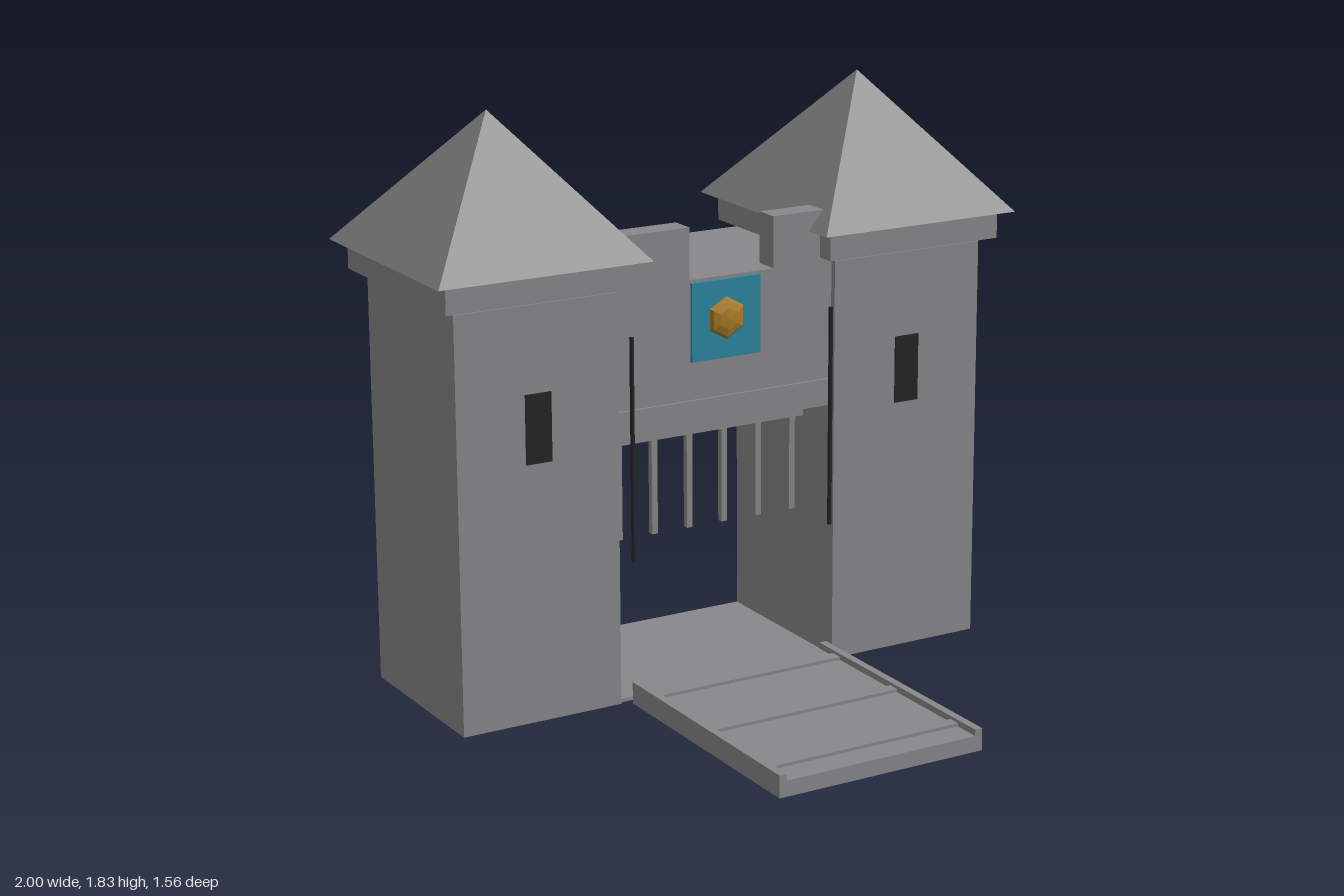
import * as THREE from 'three';

// Faceted copy of a geometry, with one normal per face
function faceted(geometry) {
  const g = geometry.toNonIndexed();
  g.computeVertexNormals();
  return g;
}

function material(name, color) {
  const m = new THREE.MeshStandardMaterial({ color });
  m.name = name;
  return m;
}

export function createModel() {
  const stone = material('stone grey', 0x88888a);
  const dark = material('dark iron', 0x242424);
  const teal = material('teal', 0x2a86a0);
  const gold = material('gold', 0xa87c24);

  const model = new THREE.Group();
  model.name = 'gatehouse';

  // Box given by its extents on each axis
  function box(parent, name, mat, [x0, x1], [y0, y1], [z0, z1]) {
    const mesh = new THREE.Mesh(new THREE.BoxGeometry(x1 - x0, y1 - y0, z1 - z0), mat);
    mesh.position.set((x0 + x1) / 2, (y0 + y1) / 2, (z0 + z1) / 2);
    mesh.name = name;
    parent.add(mesh);
    return mesh;
  }

  // Towers with cornice, pyramid roof and window slit
  const roofGeometry = new THREE.ConeGeometry(Math.SQRT1_2, 0.425, 4);
  roofGeometry.rotateY(Math.PI / 4).scale(0.70, 1, 0.76);
  for (const side of [-1, 1]) {
    const tower = new THREE.Group();
    tower.name = side > 0 ? 'leftTower' : 'rightTower';
    tower.position.x = side * 0.65;
    box(tower, 'towerBody', stone, [-0.268, 0.268], [0, 1.30], [-0.69, -0.10]);
    box(tower, 'cornice', stone, [-0.31, 0.31], [1.313, 1.40], [-0.735, -0.06]);
    box(tower, 'windowSlit', dark, [-0.043, 0.043], [0.815, 1.03], [-0.101, -0.096]);
    const roof = new THREE.Mesh(faceted(roofGeometry), stone);
    roof.name = 'roof';
    roof.position.set(0, 1.40 + 0.2125, -0.40);
    tower.add(roof);
    model.add(tower);
  }

  // Wall over the gate, lintel, threshold and battlements
  box(model, 'gateWall', stone, [-0.382, 0.382], [0.84, 1.30], [-0.67, -0.12]);
  box(model, 'lintel', stone, [-0.382, 0.382], [0.84, 0.925], [-0.14, -0.11]);
  box(model, 'threshold', stone, [-0.382, 0.382], [0, 0.012], [-0.69, -0.11]);
  for (const x of [-0.37, 0.172]) {
    box(model, 'merlon', stone, [x, x + 0.248], [1.30, 1.462], [-0.20, -0.12]);
  }

  // Shield plate with a faceted boss
  box(model, 'shieldPlate', teal, [-0.12, 0.12], [1.045, 1.29], [-0.13, -0.11]);
  const bossGeometry = new THREE.SphereGeometry(0.067, 6, 6);
  bossGeometry.rotateX(Math.PI / 2).rotateZ(Math.PI / 2).scale(1, 1, 0.3);
  const boss = new THREE.Mesh(faceted(bossGeometry), gold);
  boss.name = 'shieldBoss';
  boss.position.set(0, 1.17, -0.11);
  model.add(boss);

  // Raised portcullis
  const portcullis = new THREE.Group();
  portcullis.name = 'portcullis';
  for (let i = 0; i < 6; i++) {
    const x = -0.31 + i * 0.124;
    box(portcullis, 'verticalBar', stone, [x - 0.01, x + 0.01], [0.478, 0.85], [-0.25, -0.23]);
  }
  box(portcullis, 'crossBar', stone, [-0.35, 0.35], [0.78, 0.80], [-0.25, -0.23]);
  model.add(portcullis);

  // Drawbridge with side rails, battens and lifting rods
  const bridge = new THREE.Group();
  bridge.name = 'drawbridge';
  box(bridge, 'deck', stone, [-0.326, 0.326], [0, 0.05], [-0.085, 0.775]);
  for (const z of [-0.005, 0.32, 0.645]) {
    box(bridge, 'batten', stone, [-0.326, 0.326], [0.045, 0.06], [z, z + 0.04]);
  }
  for (const side of [-1, 1]) {
    const x = side * 0.338;
    box(bridge, 'sideRail', stone, [x - 0.0125, x + 0.0125], [0, 0.07], [-0.085, 0.775]);
    const rod = new THREE.Mesh(new THREE.CylinderGeometry(0.007, 0.007, 0.70, 8), dark);
    rod.name = 'liftingRod';
    rod.position.set(side * 0.35, 0.815, -0.071);
    bridge.add(rod);
  }
  model.add(bridge);

  return model;
}
